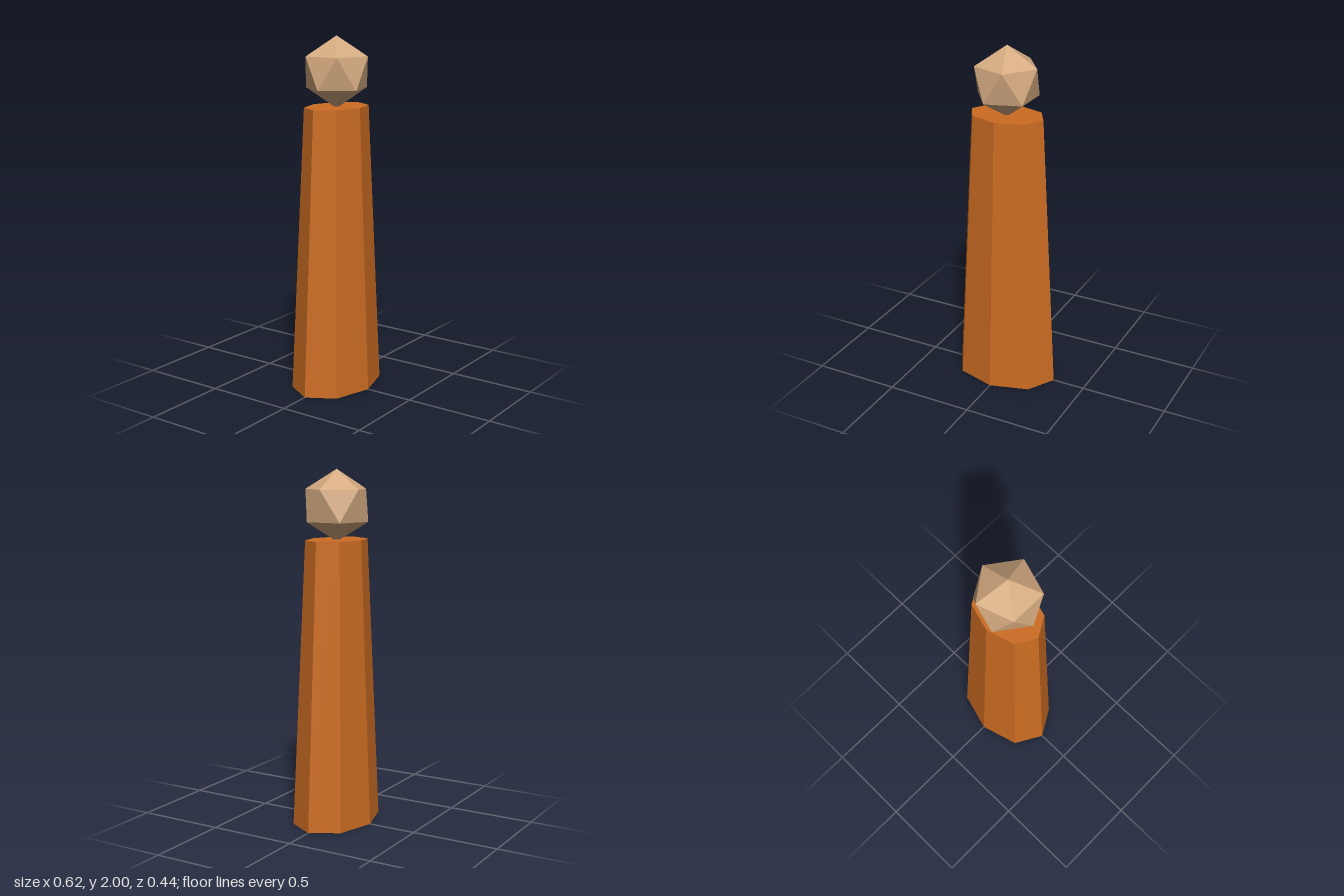
import * as THREE from 'three';

export function createModel() {
  const model = new THREE.Group();
  model.name = 'figurine';

  const robeMaterial = new THREE.MeshStandardMaterial({ color: 0xcc6c22, flatShading: true });
  robeMaterial.name = 'burnt orange';
  const headMaterial = new THREE.MeshStandardMaterial({ color: 0xd4aa80, flatShading: true });
  headMaterial.name = 'tan';

  // Tapered eight-sided body, flattened front to back
  const height = 1.613;
  const body = new THREE.Mesh(
    new THREE.CylinderGeometry(0.218, 0.31, height, 8).scale(1, 1, 0.714),
    robeMaterial
  );
  body.name = 'body';
  body.position.y = height / 2;
  model.add(body);

  // Icosahedral head, tilted to stand on one corner just inside the body top
  const radius = 0.199;
  const golden = (1 + Math.sqrt(5)) / 2;
  const head = new THREE.Mesh(
    new THREE.IcosahedronGeometry(radius, 0).rotateZ(-Math.atan(1 / golden)),
    headMaterial
  );
  head.name = 'head';
  head.position.y = 2 - radius;
  model.add(head);

  return model;
}
